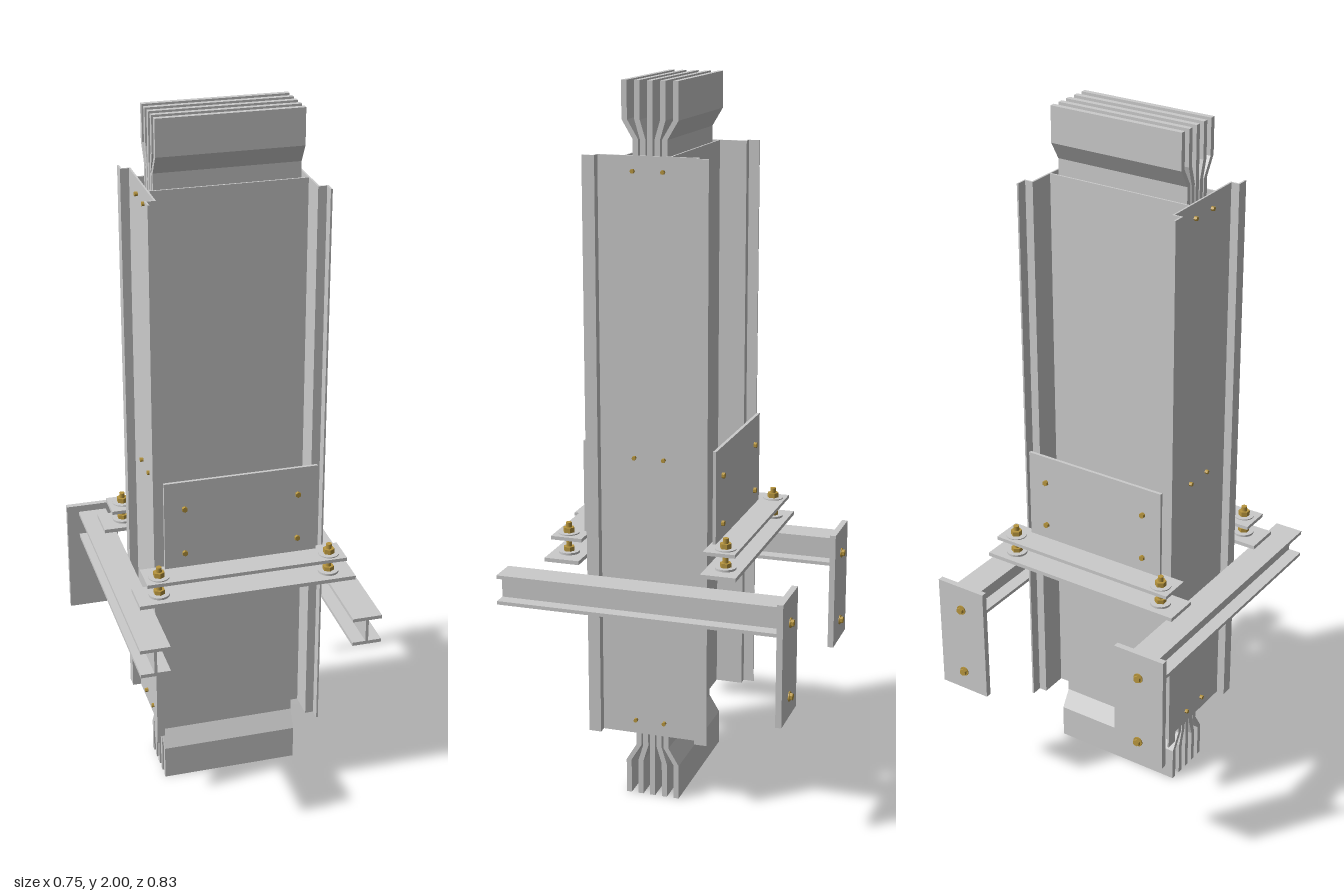
import * as THREE from 'three';

const steel = new THREE.MeshStandardMaterial({ color: 0xcccccc });
const brass = new THREE.MeshStandardMaterial({ color: 0xb8963e });

export function createModel() {
  const model = new THREE.Group();
  const midZ = 0.0125;

  const add = (name, geometry, material = steel) => {
    const mesh = new THREE.Mesh(geometry, material);
    mesh.name = name;
    model.add(mesh);
    return mesh;
  };
  // box from its limits on each axis
  const box = (name, x0, x1, y0, y1, z0, z1) =>
    add(name, new THREE.BoxGeometry(x1 - x0, y1 - y0, z1 - z0)
      .translate((x0 + x1) / 2, (y0 + y1) / 2, (z0 + z1) / 2));
  const extrude = (points, depth) => new THREE.ExtrudeGeometry(
    new THREE.Shape(points.map(([x, y]) => new THREE.Vector2(x, y))),
    { depth, bevelEnabled: false });
  // round or hexagonal piece centred on a point, along the given axis
  const disc = (name, axis, radius, length, sides, x, y, z, material = brass) => {
    const g = new THREE.CylinderGeometry(radius, radius, length, sides);
    if (axis === 'x') g.rotateZ(Math.PI / 2);
    if (axis === 'z') g.rotateX(Math.PI / 2);
    const m = sides === 6 ? material.clone() : material;
    m.flatShading = sides === 6;
    return add(name, g.translate(x, y, z), m);
  };

  // conductor bars: packed inside the housing, fanned out at both ends
  for (let i = -2; i <= 2; i++) {
    const path = [[0.035, 0], [0.035, 0.1], [0.02, 0.15], [0.02, 1.85], [0.035, 1.9], [0.035, 2]]
      .map(([spacing, y]) => [midZ + i * spacing, y]);
    const t = 0.0075;
    const outline = [
      ...path.map(([z, y]) => [z + t, y]),
      ...path.map(([z, y]) => [z - t, y]).reverse(),
    ];
    add('conductorBar', extrude(outline, 0.396).rotateY(-Math.PI / 2).translate(0.198, 0, 0));
  }

  // housing: recessed front and back covers between two stepped side channels
  for (const z of [-0.05, 0.075]) box('coverPanel', -0.213, 0.213, 0.195, 1.81, z - 0.0025, z + 0.0025);
  const channel = [
    [0.242, -0.16], [0.242, -0.125], [0.218, -0.125], [0.218, 0.15], [0.242, 0.15], [0.242, 0.185],
    [0.237, 0.185], [0.237, 0.155], [0.213, 0.155], [0.213, -0.13], [0.237, -0.13], [0.237, -0.16],
  ];

  for (const s of [-1, 1]) {
    add('sideChannel', extrude(channel.map(([x, z]) => [s * x, -z]), 1.615)
      .rotateX(-Math.PI / 2).translate(0, 0.195, 0));
    for (const y of [0.235, 1.0, 1.77])
      for (const z of [-0.03, 0.053]) disc('channelScrew', 'x', 0.006, 0.01, 6, s * 0.222, y, z);

    // I-beam bracket arm
    const cx = s * 0.297, w = 0.0415, web = 0.004, y0 = 0.58, y1 = 0.665, f = 0.01;
    const half = [[w, y0], [w, y0 + f], [web, y0 + f], [web, y1 - f], [w, y1 - f], [w, y1]];
    const section = [...half, ...half.map(([x, y]) => [-x, y]).reverse()];
    add('supportBeam', extrude(section, 0.805).translate(cx, 0, -0.39));

    // wall plate with anchors
    box('wallPlate', cx - 0.077, cx + 0.077, 0.34, 0.685, -0.407, -0.39);
    for (const y of [0.4, 0.61]) {
      disc('anchorWasher', 'z', 0.014, 0.003, 20, cx, y, -0.4085);
      disc('anchorNut', 'z', 0.01, 0.009, 6, cx, y, -0.4135);
    }
  }

  // front and back hangers: lower rail, upper angle and its fixings
  for (const s of [-1, 1]) {
    const at = (d) => (s > 0 ? 0.185 + d : -0.16 - d); // distance outward from the housing
    const span = (a, b) => [Math.min(at(a), at(b)), Math.max(at(a), at(b))];
    box('lowerRail', -0.307, 0.307, 0.709, 0.72, ...span(0, 0.099));
    box('upperAngleLeg', -0.283, 0.283, 0.766, 0.776, ...span(0, 0.089));
    box('upperAnglePlate', -0.216, 0.216, 0.766, 1.035, ...span(0.007, 0.016));
    for (const x of [-0.16, 0.16])
      for (const y of [0.82, 0.955]) disc('plateBolt', 'z', 0.008, 0.009, 6, x, y, at(0.02));

    // levelling studs with washers and nuts
    for (const x of [-0.242, 0.242]) {
      const z = at(0.052);
      disc('stud', 'y', 0.008, 0.1, 16, x, 0.757, z);
      disc('lowerWasher', 'y', 0.029, 0.006, 28, x, 0.723, z, steel);
      disc('lowerNut', 'y', 0.016, 0.012, 6, x, 0.732, z);
      disc('middleNut', 'y', 0.016, 0.01, 6, x, 0.761, z);
      disc('upperWasher', 'y', 0.029, 0.003, 28, x, 0.7775, z, steel);
      disc('upperNut', 'y', 0.016, 0.014, 6, x, 0.786, z);
    }
  }
  return model;
}
